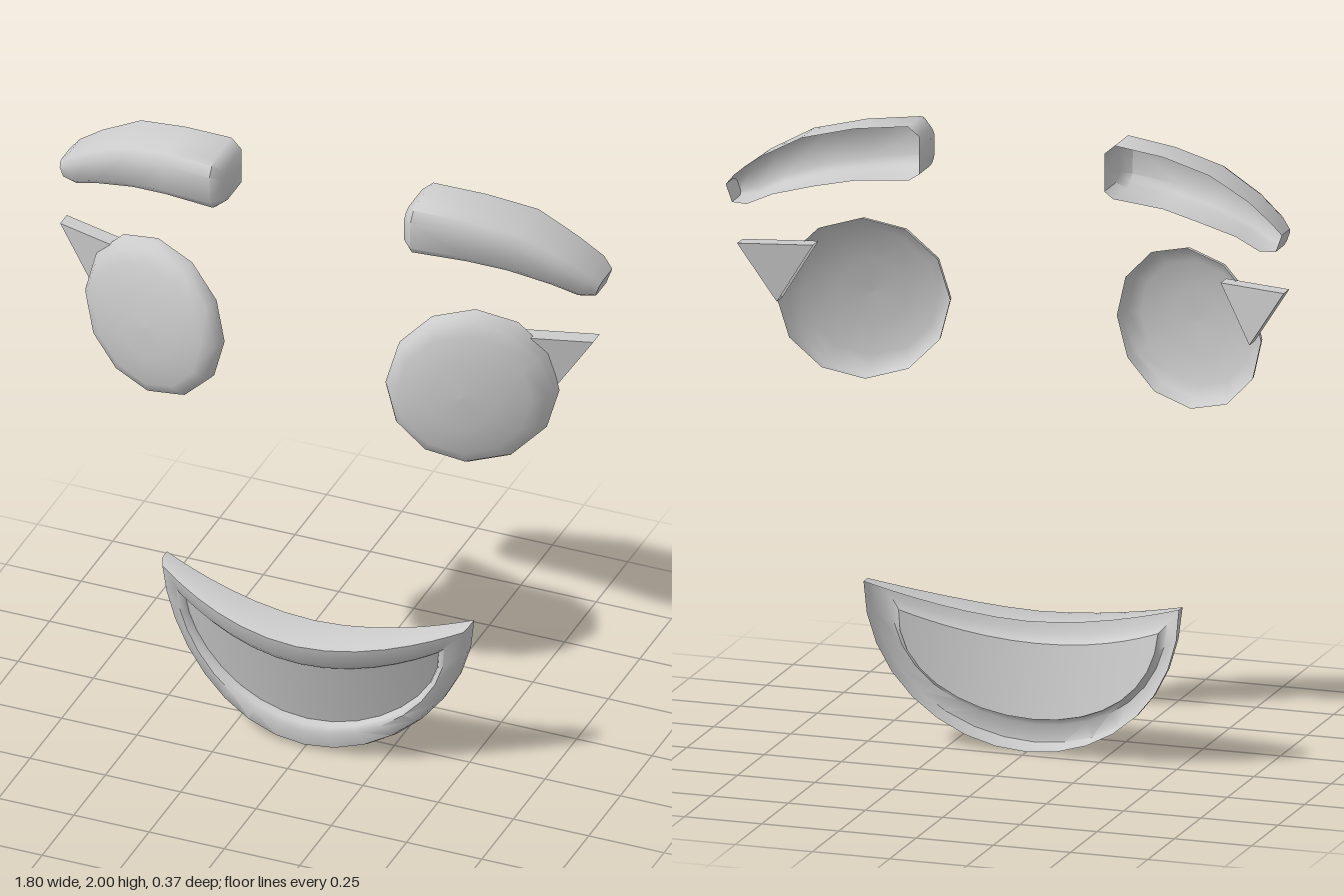
import * as THREE from 'three';
import { toCreasedNormals } from 'three/addons/utils/BufferGeometryUtils.js';

const material = new THREE.MeshStandardMaterial({ color: 0xcccccc, side: THREE.DoubleSide });

// Skin a list of equal-length rings of [x, y, z] points.
function loft(rings, closed, crease) {
  const n = rings[0].length, index = [];
  for (let r = 0; r < rings.length - 1; r++) {
    for (let i = 0; i < (closed ? n : n - 1); i++) {
      const a = r * n + i, b = r * n + (i + 1) % n;
      index.push(a, b, b + n, a, b + n, a + n);
    }
  }
  const geo = new THREE.BufferGeometry();
  geo.setAttribute('position', new THREE.Float32BufferAttribute(rings.flat(2), 3));
  geo.setIndex(index);
  geo.computeVertexNormals();
  return crease ? toCreasedNormals(geo, crease) : geo;
}

function part(name, geo) {
  const mesh = new THREE.Mesh(geo, material);
  mesh.name = name;
  return mesh;
}

// Twelve-sided shallow dish, tilted around the face, open at the back.
function eyeGeometry() {
  const profile = [[1, 0], [0.985, 0.025], [0.93, 0.05], [0.78, 0.075], [0.4, 0.09], [0, 0.094]];
  const rings = profile.map(([r, depth]) => Array.from({ length: 12 }, (_, i) => {
    const a = Math.PI / 2 + i * Math.PI / 6;
    const dx = 0.257 * r * Math.cos(a), dy = 0.26 * r * Math.sin(a);
    return [0.527 + dx, 1.4 + dy, 0.035 - 0.27 * dx - 0.07 * dy + depth];
  }));
  return loft(rings, true);
}

// Wedge pointing outward from behind the eye, open at its inner end.
function lashGeometry() {
  const bottom = [0.765, 1.4, -0.035], top = [0.66, 1.58, 0.0], tip = [0.885, 1.582, -0.06];
  const back = ([x, y, z]) => [x, y, z - 0.052];
  const rings = [
    [bottom, top, back(top), back(bottom)],
    [tip, tip, back(tip), back(tip)],
  ];
  return loft(rings, true, 0.5);
}

// Arched shell with a bevelled front, open at the back.
function browGeometry() {
  // bottom x, bottom y, top x, top y, front z, back z
  const stations = [
    [0.30, 1.85, 0.30, 1.97, 0.045, -0.10],
    [0.33, 1.83, 0.335, 2.0, 0.073, -0.105],
    [0.50, 1.82, 0.50, 1.985, 0.04, -0.13],
    [0.62, 1.80, 0.66, 1.95, 0.01, -0.163],
    [0.75, 1.765, 0.79, 1.88, -0.025, -0.17],
    [0.83, 1.73, 0.87, 1.82, -0.055, -0.183],
    [0.88, 1.73, 0.90, 1.785, -0.08, -0.175],
  ];
  const section = [[1, 0], [1, 0.72], [0.93, 0.88], [0.75, 1], [0.2, 1], [0.06, 0.9], [0, 0.75], [0, 0]];
  const rings = stations.map(([xb, yb, xt, yt, zf, zb]) => section.map(([v, d]) =>
    [xb + (xt - xb) * v, yb + (yt - yb) * v, zb + (zf - zb) * d]));
  // End caps collapse to the middle of the back edge.
  const cap = ring => {
    const a = ring[0], b = ring[ring.length - 1];
    return ring.map(() => a.map((c, i) => (c + b[i]) / 2));
  };
  return loft([cap(rings[0]), ...rings, cap(rings[rings.length - 1])], false, 0.95);
}

// Smile: an upper and a lower edge sharing the same columns.
const COLUMNS = 16;
const angles = Array.from({ length: COLUMNS + 1 }, (_, i) => (i / COLUMNS - 0.5) * Math.PI);
const outerTop = a => [0.51 * Math.sin(a), 0.42 + 0.095 * Math.abs(Math.sin(a)) ** 1.8];
const outerLow = a => [0.51 * Math.sin(a), 0.515 - 0.51 * Math.cos(a)];
const innerTop = a => [0.42 * Math.sin(a), 0.322 + 0.093 * Math.sin(a) ** 2];
const innerLow = a => [0.42 * Math.sin(a), 0.415 - 0.32 * Math.cos(a)];
const backZ = x => 0.04 - 0.2 * x * x;
const lipZ = (x, y) => 0.115 + 0.17 * y - 0.6 * x * x;
const floorZ = (x, y) => 0.07 + 0.23 * y - 0.62 * x * x;

function lipGeometry() {
  const loop = (top, low) => [...angles.map(top), ...angles.slice(1, -1).reverse().map(low)];
  const outer = loop(outerTop, outerLow), inner = loop(innerTop, innerLow);
  const ring = (t, z) => outer.map(([x, y], i) => {
    const px = x + (inner[i][0] - x) * t, py = y + (inner[i][1] - y) * t;
    return [px, py, z(px, py)];
  });
  return loft([
    ring(0, backZ),
    ring(0, (x, y) => lipZ(x, y) - 0.02),
    ring(0.12, lipZ),
    ring(0.72, lipZ),
    ring(0.93, (x, y) => lipZ(x, y) - 0.015),
    ring(1, floorZ),
  ], true, 0.9);
}

function mouthFloorGeometry() {
  const rows = [0, 0.25, 0.5, 0.75, 1].map(t => angles.map(a => {
    const [x, y0] = innerTop(a), y = y0 + (innerLow(a)[1] - y0) * t;
    return [x, y, floorZ(x, y)];
  }));
  return loft(rows, false);
}

export function createModel() {
  const model = new THREE.Group();
  model.name = 'face';

  const eye = eyeGeometry(), lash = lashGeometry(), brow = browGeometry();
  for (const [side, sign] of [['left', 1], ['right', -1]]) {
    const half = new THREE.Group();
    half.name = side + 'EyeGroup';
    half.scale.x = sign;
    half.add(part(side + 'Eye', eye), part(side + 'Eyelash', lash), part(side + 'Eyebrow', brow));
    model.add(half);
  }

  const mouth = new THREE.Group();
  mouth.name = 'mouth';
  mouth.add(part('lips', lipGeometry()), part('mouthFloor', mouthFloorGeometry()));
  model.add(mouth);
  return model;
}
